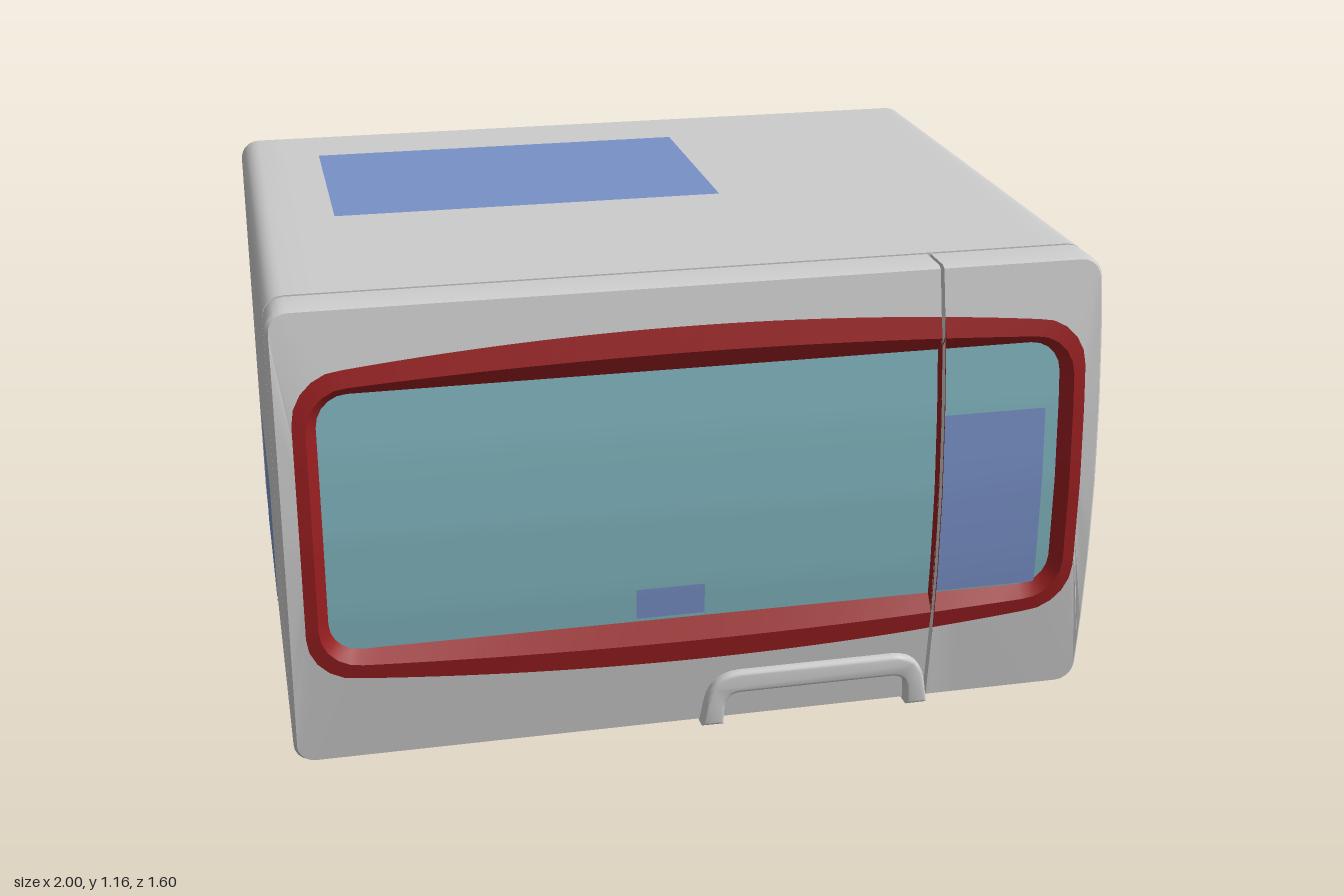
import * as THREE from 'three';
import { toCreasedNormals } from 'three/addons/utils/BufferGeometryUtils.js';

const paint = (color) => new THREE.MeshStandardMaterial({ color });
const GREY = paint(0xcccccc);
const RED = paint(0x981e20);
const GLASS = paint(0x80b4be);
const BLUE = paint(0x7891c7);
BLUE.side = THREE.DoubleSide;

// Depth of the gently bulging front at height y
const CURVE = [[0.02, 0.765], [0.2, 0.785], [0.4, 0.796], [0.6, 0.796], [0.8, 0.782], [1.0, 0.757], [1.16, 0.722]];
function frontZ(y) {
  let i = 0;
  while (i < CURVE.length - 2 && y > CURVE[i + 1][0]) i++;
  const [y0, z0] = CURVE[i], [y1, z1] = CURVE[i + 1];
  return z0 + (z1 - z0) * (y - y0) / (y1 - y0);
}

// Rounded rectangle, counter-clockwise from the front; top and bottom may bow outwards
function outline(hw, y0, y1, r, bow, z) {
  const pts = [];
  const w = hw - r, side = 14, flat = 28, arc = 5;
  const add = (x, y, edge = 0) => {
    y += edge * bow * (1 - Math.min(1, (x / w) ** 2));
    pts.push(new THREE.Vector3(x, y, typeof z === 'function' ? z(y) : z));
  };
  const corner = (cx, cy, start) => {
    for (let i = 1; i < arc; i++) {
      const a = start + (i / arc) * Math.PI / 2;
      add(cx + r * Math.cos(a), cy + r * Math.sin(a));
    }
  };
  const lerp = THREE.MathUtils.lerp;
  for (let i = 0; i <= side; i++) add(hw, lerp(y0 + r, y1 - r, i / side));
  corner(w, y1 - r, 0);
  for (let i = 0; i <= flat; i++) add(lerp(w, -w, i / flat), y1, 1);
  corner(-w, y1 - r, Math.PI / 2);
  for (let i = 0; i <= side; i++) add(-hw, lerp(y1 - r, y0 + r, i / side));
  corner(-w, y0 + r, Math.PI);
  for (let i = 0; i <= flat; i++) add(lerp(-w, w, i / flat), y0, -1);
  corner(w, y0 + r, Math.PI * 1.5);
  return pts;
}

// Closes a loop by drawing it in to the centre line
const closing = (loop) => loop.map((p) => new THREE.Vector3(0, p.y, p.z));

// Skin over loops ordered back to front, cut off at x = lo and x = hi
function loft(name, material, loops, lo = -1, hi = 1) {
  const pos = [], idx = [], n = loops[0].length;
  for (const loop of loops) {
    for (const p of loop) pos.push(THREE.MathUtils.clamp(p.x, lo, hi), p.y, p.z);
  }
  for (let k = 0; k < loops.length - 1; k++) {
    for (let i = 0; i < n; i++) {
      const j = (i + 1) % n;
      const a = k * n + i, b = k * n + j, c = b + n, d = a + n;
      idx.push(a, b, c, a, c, d);
    }
  }
  const geo = new THREE.BufferGeometry();
  geo.setAttribute('position', new THREE.Float32BufferAttribute(pos, 3));
  geo.setIndex(idx);
  const mesh = new THREE.Mesh(toCreasedNormals(geo, 0.5), material);
  mesh.name = name;
  return mesh;
}

// Thin rectangular label
function label(name, w, h, x, y, z) {
  const mesh = new THREE.Mesh(new THREE.PlaneGeometry(w, h, 1, 8), BLUE);
  mesh.position.set(x, y, z);
  mesh.name = name;
  return mesh;
}

// Label that follows the curved window
function windowLabel(name, x0, x1, y0, y1) {
  const mesh = label(name, x1 - x0, y1 - y0, 0, 0, 0);
  const geo = mesh.geometry;
  geo.translate((x0 + x1) / 2, (y0 + y1) / 2, 0);
  const p = geo.attributes.position;
  for (let i = 0; i < p.count; i++) p.setZ(i, frontZ(p.getY(i)) - 0.024);
  geo.computeVertexNormals();
  return mesh;
}

// One section of the front: shell, red frame and window
function frontSection(name, lo, hi) {
  const group = new THREE.Group();
  group.name = name;
  const back = outline(1, 0.02, 1.16, 0.05, 0, 0.625);
  const frameOuter = outline(0.955, 0.25, 1.02, 0.12, 0.043, frontZ);
  const crest = outline(0.925, 0.287, 0.98, 0.1, 0.024, (y) => frontZ(y) + 0.004);
  const pane = outline(0.9, 0.315, 0.955, 0.075, 0, (y) => frontZ(y) - 0.028);
  group.add(
    loft(name + 'Shell', GREY, [
      closing(back), back,
      outline(1, 0.02, 1.16, 0.05, 0, (y) => frontZ(y) - 0.012),
      outline(0.992, 0.026, 1.154, 0.045, 0, frontZ),
      frameOuter,
    ], lo, hi),
    loft(name + 'Frame', RED, [frameOuter, crest, pane], lo, hi),
    loft(name + 'Window', GLASS, [pane, closing(pane)], lo, hi),
  );
  return group;
}

// Arched pull handle, open at the bottom
function handle() {
  const s = new THREE.Shape();
  s.moveTo(0.012, 0.03);
  s.lineTo(0.02, 0.08);
  s.quadraticCurveTo(0.03, 0.153, 0.1, 0.153);
  s.lineTo(0.49, 0.153);
  s.quadraticCurveTo(0.56, 0.153, 0.57, 0.08);
  s.lineTo(0.578, 0.03);
  s.lineTo(0.542, 0.03);
  s.lineTo(0.54, 0.07);
  s.quadraticCurveTo(0.535, 0.115, 0.49, 0.115);
  s.lineTo(0.1, 0.115);
  s.quadraticCurveTo(0.055, 0.115, 0.05, 0.07);
  s.lineTo(0.048, 0.03);
  const geo = new THREE.ExtrudeGeometry(s, {
    depth: 0.06, bevelThickness: 0.012, bevelSize: 0.01, bevelSegments: 3, curveSegments: 6,
  });
  geo.translate(0, 0, 0.728);
  const mesh = new THREE.Mesh(toCreasedNormals(geo, 0.7), GREY);
  mesh.name = 'handle';
  return mesh;
}

export function createModel() {
  const model = new THREE.Group();
  model.name = 'microwaveOven';

  // Cabinet with a softened back edge
  const rear = outline(0.99, 0.03, 1.15, 0.045, 0, -0.8);
  const mouth = outline(1, 0.02, 1.16, 0.05, 0, 0.615);
  model.add(loft('cabinet', GREY, [
    closing(rear), rear, outline(1, 0.02, 1.16, 0.05, 0, -0.79), mouth, closing(mouth),
  ]));

  // Inset joint between cabinet and front
  const joint = [0.6, 0.64].map((z) => outline(0.985, 0.035, 1.145, 0.045, 0, z));
  model.add(loft('joint', GREY, joint));

  // Door and control panel, parted by a narrow gap
  model.add(frontSection('door', -1, 0.587));
  model.add(frontSection('controlPanel', 0.596, 1));
  model.add(handle());

  // Labels
  model.add(windowLabel('controlLabel', 0.602, 0.865, 0.32, 0.79));
  model.add(windowLabel('doorLabel', -0.16, 0.01, 0.325, 0.405));
  const top = label('topLabel', 1.01, 0.6, -0.285, 1.163, -0.275);
  top.rotation.x = -Math.PI / 2;
  const side = label('sideLabel', 0.56, 0.35, -1.002, 0.275, -0.2);
  side.rotation.y = -Math.PI / 2;
  model.add(top, side);

  // Six-sided feet
  for (const x of [-0.781, 0.781]) {
    for (const z of [0.49, -0.66]) {
      const geo = new THREE.CylinderGeometry(0.067, 0.067, 0.03, 6).rotateY(Math.PI / 6);
      const foot = new THREE.Mesh(toCreasedNormals(geo, 0.5), GREY);
      foot.position.set(x, 0.015, z);
      foot.name = 'foot';
      model.add(foot);
    }
  }
  return model;
}
